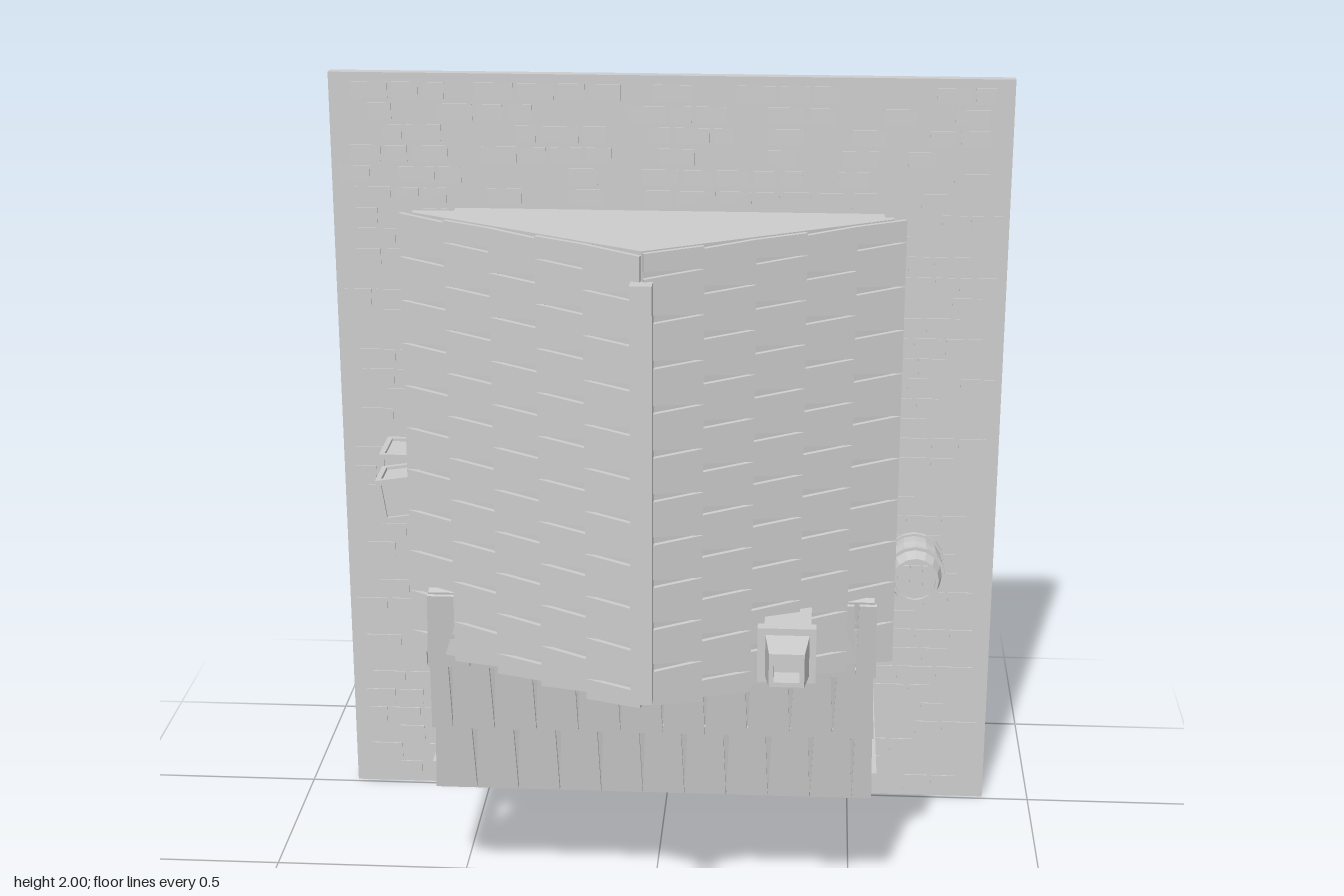
import * as THREE from 'three';
import { mergeGeometries } from 'three/addons/utils/BufferGeometryUtils.js';

const stone = new THREE.MeshStandardMaterial({ color: 0xcccccc, flatShading: true });
stone.name = 'plain grey';

// Box geometry from min and max corners
function span(x0, x1, y0, y1, z0, z1) {
  return new THREE.BoxGeometry(x1 - x0, y1 - y0, z1 - z0)
    .translate((x0 + x1) / 2, (y0 + y1) / 2, (z0 + z1) / 2);
}

// Wedge-laid shingle: lower edge at y = 0, narrowing and sinking up the slope
function tile(width, length, taper, lift) {
  const w = width / 2, t = w * taper;
  const s = new THREE.Shape([
    new THREE.Vector2(-w, 0), new THREE.Vector2(w, 0),
    new THREE.Vector2(t, length), new THREE.Vector2(-t, length),
  ]);
  const g = new THREE.ExtrudeGeometry(s, { depth: 0.012, bevelEnabled: false });
  return g.rotateX(-Math.asin(lift / length)).translate(0, 0, lift);
}

// Rows of shingles, alternately shifted by half a tile
function tiledSlope({ across, rows, pitch, rowLength, lift, taper }) {
  const list = [];
  for (let r = 0; r < rows; r++) {
    const stops = [0];
    let a = r % 2 ? pitch / 2 : pitch;
    for (; a < across - 0.001; a += pitch) stops.push(a);
    stops.push(across);
    for (let i = 0; i + 1 < stops.length; i++) {
      const w = stops[i + 1] - stops[i];
      list.push(tile(w * 0.99, rowLength * 1.08, taper, lift)
        .translate((stops[i] + stops[i + 1]) / 2 - across / 2, r * rowLength, 0));
    }
  }
  return mergeGeometries(list);
}

export function createModel() {
  const model = new THREE.Group();
  const add = (name, geometry) => {
    const list = Array.isArray(geometry) ? geometry : [geometry];
    const m = new THREE.Mesh(list.length > 1 ? mergeGeometries(list) : list[0], stone);
    m.name = name;
    model.add(m);
    return m;
  };
  let seed = 7;
  const rand = () => (seed = (seed * 16807) % 2147483647) / 2147483647;

  // Ground slab with shallow paving
  add('ground', span(-0.875, 0.875, 0, 2, -0.543, -0.512));
  const paving = [];
  for (let r = 0; r < 36; r++) {
    let x = -0.86 + rand() * 0.05;
    const y = 0.02 + r * 0.0547;
    while (x < 0.78) {
      const w = 0.05 + rand() * 0.05;
      if (rand() > 0.4) paving.push(span(x, x + w, y, y + 0.042, -0.513, -0.508));
      x += w + 0.012;
    }
  }
  add('pavingStones', paving);

  // House walls
  add('walls', span(-0.545, 0.545, 0.86, 1.65, -0.512, 0.16));
  add('floorBeam', span(-0.55, 0.55, 0.845, 0.865, -0.512, 0.12));
  const posts = [], bricks = [], timbers = [];
  for (const s of [-1, 1]) {
    const side = (d, y0, y1, z0, z1) =>
      span(Math.min(s * 0.53, s * d), Math.max(s * 0.53, s * d), y0, y1, z0, z1);
    posts.push(side(0.555, 0.855, 0.88, -0.512, 0.12), side(0.555, 1.625, 1.65, -0.512, 0.12));
    // stone footing in staggered courses
    for (let c = 0; c < 3; c++) {
      let y = 0.885 + (c % 2) * 0.03;
      while (y < 1.6) {
        const h = Math.min(0.07 + rand() * 0.05, 1.622 - y);
        bricks.push(side(0.558, y, y + h, -0.51 + c * 0.055, -0.462 + c * 0.055));
        y += h + 0.012;
      }
    }
    // thin window frames
    for (const y of [1.0, 1.2, 1.51]) {
      for (const z of [-0.24, -0.1, 0.04]) timbers.push(side(0.551, y - 0.035, y + 0.035, z, z + 0.03));
      timbers.push(side(0.55, y - 0.012, y + 0.012, -0.24, 0.07));
    }
  }
  add('cornerTimbers', posts);
  add('footingStones', bricks);
  add('windowFrames', timbers);

  // Roof core, tiles on both slopes, and ridge beam
  const gable = new THREE.Shape([
    new THREE.Vector2(-0.56, 0.145), new THREE.Vector2(0.56, 0.145),
    new THREE.Vector2(0.56, 0.165), new THREE.Vector2(0, 0.5), new THREE.Vector2(-0.56, 0.165),
  ]);
  add('roofCore', new THREE.ExtrudeGeometry(gable, { depth: 1.095, bevelEnabled: false })
    .rotateX(Math.PI / 2).scale(1, 1, -1).scale(1, -1, -1)
    .rotateX(0).translate(0, 0, 0));
  const core = model.getObjectByName('roofCore');
  core.geometry = new THREE.ExtrudeGeometry(gable, { depth: 1.095, bevelEnabled: false });
  core.geometry.applyMatrix4(new THREE.Matrix4().makeBasis(
    new THREE.Vector3(1, 0, 0), new THREE.Vector3(0, 0, 1), new THREE.Vector3(0, -1, 0)));
  core.position.y = 1.798;

  const roofAngle = Math.atan2(0.335, 0.56), c = Math.cos(roofAngle), n = Math.sin(roofAngle);
  for (const s of [1, -1]) {
    const slope = add(s > 0 ? 'leftRoofTiles' : 'rightRoofTiles', tiledSlope({
      across: 1.1, rows: 5, pitch: 0.1048, rowLength: 0.132, lift: 0.018, taper: 0.78 }));
    slope.quaternion.setFromRotationMatrix(new THREE.Matrix4().makeBasis(
      new THREE.Vector3(0, s, 0), new THREE.Vector3(-s * c, 0, n), new THREE.Vector3(s * n, 0, c)));
    slope.position.set(s * 0.575, 1.25, 0.154);
  }
  add('ridgeBeam', span(-0.025, 0.025, 0.73, 1.73, 0.47, 0.543));

  // Porch roof, shingled
  const pa = Math.atan2(0.115, 0.565), pc = Math.cos(pa), pn = Math.sin(pa);
  const porch = new THREE.Group();
  porch.name = 'porchRoof';
  porch.add(new THREE.Mesh(span(-0.54, 0.54, 0.005, 0.575, -0.02, 0.002), stone));
  porch.add(new THREE.Mesh(tiledSlope({
    across: 1.1, rows: 3, pitch: 0.105, rowLength: 0.185, lift: 0.012, taper: 0.85 }), stone));
  porch.quaternion.setFromRotationMatrix(new THREE.Matrix4().makeBasis(
    new THREE.Vector3(1, 0, 0), new THREE.Vector3(0, pc, pn), new THREE.Vector3(0, -pn, pc)));
  porch.position.set(0, 0.31, 0.115);
  model.add(porch);

  // Porch posts and beams
  for (const s of [-1, 1])
    add('porchPost', span(s * 0.54 - 0.022, s * 0.54 + 0.022, 0.318, 0.362, -0.512, 0.11));
  add('porchBeams', [
    span(-0.54, 0.54, 0.32, 0.36, 0.075, 0.115),
    span(-0.52, 0.52, 0.48, 0.5, 0.105, 0.125),
  ]);

  // Front wall details under the porch
  add('doorLintel', span(-0.5, 0.5, 0.7, 0.86, -0.11, -0.04));
  add('wallBand', span(-0.5, 0.5, 0.83, 0.86, -0.23, -0.11));
  for (const s of [-1, 1]) {
    add('frontPier', span(s * 0.37 - 0.13, s * 0.37 + 0.13, 0.62, 0.86, -0.512, -0.23));
    add('pierLedge', span(s * 0.37 - 0.08, s * 0.37 + 0.08, 0.775, 0.785, -0.23, -0.16));
    add('eaveBracket', [
      span(s * 0.5 - 0.02, s * 0.5 + 0.02, 0.735, 0.86, 0.01, 0.1),
      span(-0.015, 0.015, -0.055, 0.055, -0.008, 0.008).rotateX(0.65).translate(s * 0.5, 0.69, 0.09),
    ]);
  }

  // Chimney with collar and tapered hollow pot
  add('chimney', [
    span(0.28, 0.39, 0.77, 0.88, 0.26, 0.425),
    span(0.265, 0.402, 0.757, 0.893, 0.425, 0.455),
  ]);
  const pot = new THREE.LatheGeometry([[0.073, 0], [0.058, 0.09], [0.042, 0.09], [0.042, 0.03], [0, 0.03]]
    .map(p => new THREE.Vector2(...p)), 4).rotateY(Math.PI / 4).rotateX(Math.PI / 2);
  add('chimneyPot', pot).position.set(0.335, 0.825, 0.453);

  // Barrel with hoops and lid boards
  const barrel = new THREE.Group();
  barrel.name = 'barrel';
  const body = new THREE.LatheGeometry([[0, 0], [0.062, 0], [0.074, 0.05], [0.077, 0.095], [0.074, 0.14],
    [0.062, 0.192], [0.054, 0.192], [0.054, 0.182], [0, 0.182]].map(p => new THREE.Vector2(...p)), 16);
  barrel.add(new THREE.Mesh(body, stone));
  for (const h of [0.045, 0.145])
    barrel.add(new THREE.Mesh(new THREE.CylinderGeometry(0.08, 0.08, 0.014, 16).translate(0, h, 0), stone));
  for (const x of [-0.033, 0, 0.033])
    barrel.add(new THREE.Mesh(span(x - 0.014, x + 0.014, 0.18, 0.187, -0.04, 0.04), stone));
  barrel.rotation.x = Math.PI / 2;
  barrel.position.set(0.66, 0.715, -0.512);
  model.add(barrel);

  // Slatted crates
  function crate(name, size, height, x, y, z, turn) {
    const h = size / 2, e = 0.014, list = [span(-h + 0.008, h - 0.008, -h + 0.008, h - 0.008, 0.004, height - 0.008)];
    for (const a of [-h, h - e]) {
      for (const b of [-h, h - e]) list.push(span(a, a + e, b, b + e, 0, height));
      for (const k of [0, height - e]) {
        list.push(span(a, a + e, -h, h, k, k + e), span(-h, h, a, a + e, k, k + e));
      }
    }
    const m = add(name, list);
    m.position.set(x, y, z);
    m.rotation.z = turn;
  }
  crate('lowerCrate', 0.155, 0.15, -0.677, 0.943, -0.512, 0);
  crate('upperCrate', 0.118, 0.12, -0.677, 0.943, -0.35, 0.15);
  crate('porchCrate', 0.14, 0.115, -0.3, 0.513, -0.512, 0);
  add('porchJug', [
    span(-0.335, -0.265, 0.485, 0.55, -0.4, -0.31),
    span(-0.34, -0.26, 0.48, 0.55, -0.312, -0.28),
  ]);

  // Hanging lantern at the eave
  add('lantern', [
    span(-0.592, -0.56, 0.65, 0.71, 0.12, 0.16),
    span(-0.582, -0.572, 0.7, 0.9, 0.135, 0.145),
    span(-0.581, -0.573, 0.69, 0.698, 0, 0.13),
  ]);
  return model;
}
